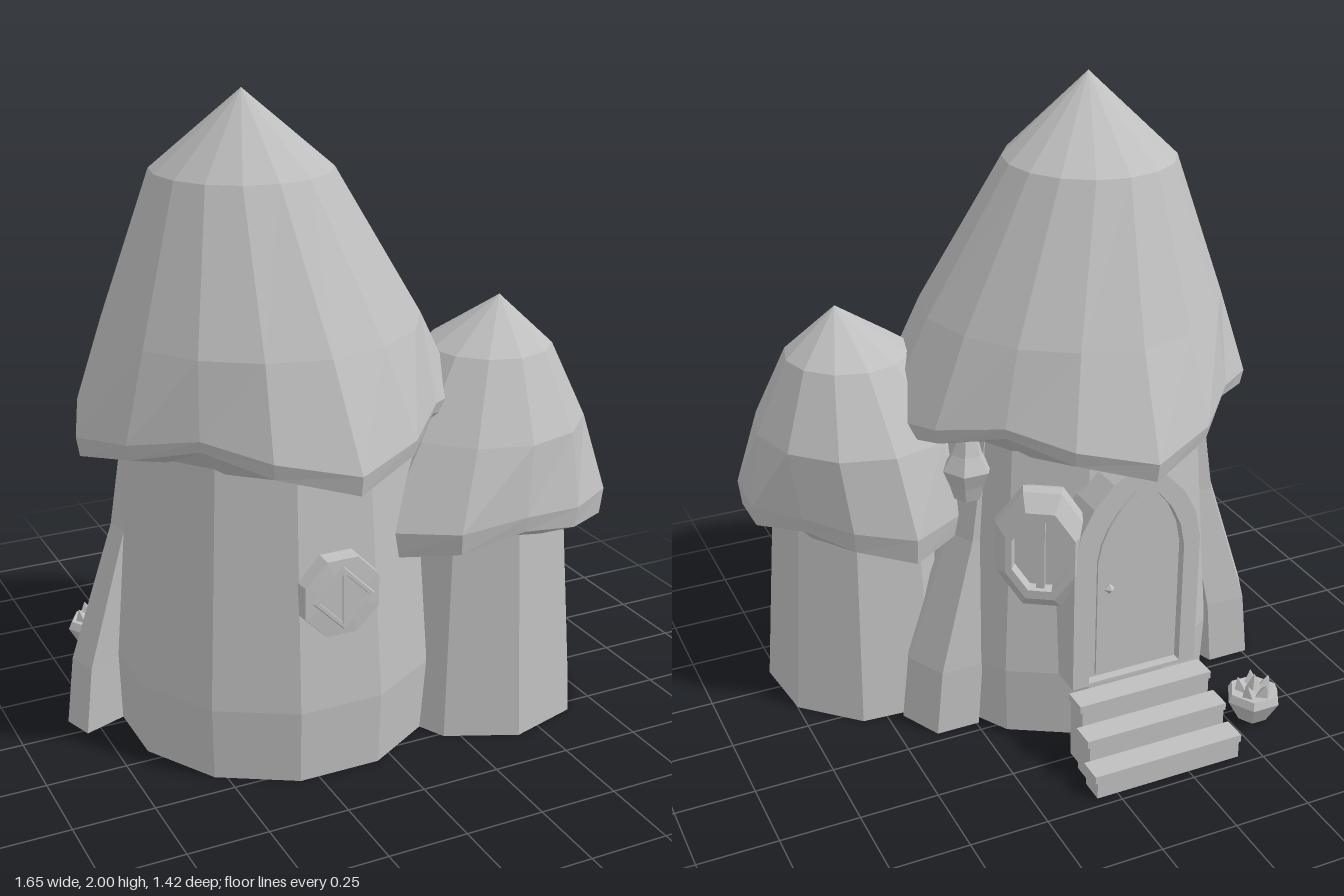
import * as THREE from 'three';

// Walls and roots are open shells, so both sides show
const plaster = new THREE.MeshStandardMaterial({ color: 0xbfbfbf, flatShading: true, side: THREE.DoubleSide });
plaster.name = 'plain grey';

// Ring of n points; radius and height may be functions of the index
const val = (f, i) => (typeof f === 'function' ? f(i) : f);
function ring(n, cx, cz, r, y, start = 0) {
  return Array.from({ length: n }, (_, i) => {
    const a = start + (i / n) * Math.PI * 2;
    return new THREE.Vector3(cx + Math.cos(a) * val(r, i), val(y, i), cz + Math.sin(a) * val(r, i));
  });
}

// Skin joining rings listed from the underside upward
function loft(rings) {
  const pos = [];
  const tri = new THREE.Triangle();
  const add = (a, b, c) => {
    if (tri.set(a, b, c).getArea() > 1e-8) for (const p of [a, b, c]) pos.push(p.x, p.y, p.z);
  };
  for (let k = 0; k + 1 < rings.length; k++) {
    const lo = rings[k], hi = rings[k + 1], n = lo.length;
    for (let i = 0; i < n; i++) {
      const j = (i + 1) % n;
      add(lo[i], hi[i], lo[j]);
      add(lo[j], hi[i], hi[j]);
    }
  }
  const g = new THREE.BufferGeometry();
  g.setAttribute('position', new THREE.Float32BufferAttribute(pos, 3));
  g.computeVertexNormals();
  return g;
}

// Shape turned about z from [radius, depth] pairs
function turned(n, start, profile) {
  return loft(profile.map(([r, d]) => ring(n, 0, 0, r, d, start))).rotateX(Math.PI / 2);
}

// Pointed arch outline
function arch(Type, w, y0, spring, top) {
  const s = new Type();
  s.moveTo(-w, y0);
  s.lineTo(w, y0);
  s.lineTo(w, spring);
  s.quadraticCurveTo(w * 0.92, top - 0.1, 0, top);
  s.quadraticCurveTo(-w * 0.92, top - 0.1, -w, spring);
  s.closePath();
  return s;
}

export function createModel() {
  const model = new THREE.Group();
  model.name = 'cottage';
  const add = (name, geo, x = 0, y = 0, z = 0, parent = model) => {
    const m = new THREE.Mesh(geo, plaster);
    m.name = name;
    m.position.set(x, y, z);
    parent.add(m);
    return m;
  };
  const box = (w, h, d) => new THREE.BoxGeometry(w, h, d);

  // Main tower wall, open below
  const mx = -0.19, mz = 0.07;
  add('mainWall', loft([[0.5, 0], [0.51, 0.23], [0.45, 0.98]]
    .map(([r, y]) => ring(12, mx + 0.01, mz, r, y, Math.PI / 12))));

  // Main roof: four drooping corners, apex leaning to one side
  const hemR = [0.608, 0.575, 0.525, 0.575, 0.632, 0.575, 0.525, 0.575];
  const dip = [0, 0.05, 0.1, 0.05];
  add('mainRoof', loft([
    ring(16, mx, mz, 0.42, 0.95),
    ring(16, mx, mz, i => hemR[i % 8] - 0.005, i => 0.95 + dip[i % 4]),
    ring(16, mx, mz, i => hemR[i % 8] + 0.005, i => 1.01 + dip[i % 4] * 0.75),
    ring(16, -0.215, 0.08, i => (i % 4 === 0 ? 0.488 : 0.478), 1.31),
    ring(16, -0.27, 0.075, 0.27, 1.76),
    ring(16, -0.3, 0.15, 0, 2),
  ]));

  // Side tower wall, open below
  add('sideWall', loft([[0.345, 0], [0.29, 0.7]]
    .map(([r, y]) => ring(9, 0.44, 0.265, r, y, 0.24))));

  // Side roof: three drooping lobes
  const lobeR = [0.405, 0.45, 0.41, 0.39, 0.445, 0.47, 0.41, 0.37, 0.36, 0.39, 0.345, 0.34];
  const lift = i => 0.035 * (1 - Math.cos(((i - 1) * Math.PI) / 2));
  add('sideRoof', loft([
    ring(12, 0.43, 0.235, 0.28, 0.63),
    ring(12, 0.42, 0.21, i => lobeR[i] - 0.01, i => 0.615 + lift(i)),
    ring(12, 0.42, 0.21, i => lobeR[i], i => 0.7 + lift(i) * 0.5),
    ring(12, 0.45, 0.235, 0.335, 0.95),
    ring(12, 0.48, 0.24, 0.198, 1.18),
    ring(12, 0.51, 0.25, 0, 1.33),
  ]));

  // Root buttresses on both sides of the main tower
  const section = [[-1, 0.1], [-0.5, -0.95], [0.6, -0.95], [1, 0.2], [-0.75, 0.85]];
  const stages = [[0.7, 0.13, 0], [0.68, 0.125, 0.22], [0.575, 0.085, 0.65], [0.53, 0.075, 1]];
  for (const side of [1, -1]) {
    const rings = stages.map(([d, r, y]) => {
      const pts = section.map(([u, v]) =>
        new THREE.Vector3(mx + side * (d - 0.19 - u * r), y, -0.09 + v * r));
      return side > 0 ? pts.reverse() : pts;
    });
    add(side > 0 ? 'leftRoot' : 'rightRoot', loft(rings));
  }

  // Front window: octagonal rim, diamond pane and centre bar
  const front = new THREE.Group();
  front.name = 'frontWindow';
  front.position.set(-0.185, 0.59, 0.5);
  model.add(front);
  add('rim', turned(8, Math.PI / 8, [[0.135, 0], [0.128, 0.075], [0, 0.082]]), 0, 0, 0, front);
  add('pane', turned(4, 0, [[0.1, 0.075], [0.095, 0.09], [0.08, 0.09], [0.078, 0.085], [0, 0.085]]), 0, 0, 0, front);
  add('bar', box(0.012, 0.16, 0.008), 0, 0, 0.088, front);

  // Back window: tall octagonal porthole
  const back = new THREE.Group();
  back.name = 'backWindow';
  back.position.set(0.06, 0.7, -0.32);
  back.rotation.y = Math.atan2(0.54, -0.84);
  model.add(back);
  const porthole = turned(8, Math.PI / 8, [[0.18, -0.02], [0.215, 0.05], [0.205, 0.075], [0.155, 0.12],
    [0.125, 0.12], [0.12, 0.085], [0, 0.085]]).scale(0.74, 1.02, 1);
  add('rim', porthole, 0, 0, 0, back);
  add('bar', box(0.025, 0.23, 0.025), 0, 0, 0.095, back);

  // Door frame, door and knob
  const door = new THREE.Group();
  door.name = 'doorway';
  door.position.set(-0.18, 0, -0.475);
  door.rotation.y = Math.PI;
  model.add(door);
  const frame = arch(THREE.Shape, 0.215, 0.23, 0.68, 0.975);
  frame.holes.push(arch(THREE.Path, 0.16, 0.24, 0.66, 0.915));
  const solid = (s, depth) =>
    new THREE.ExtrudeGeometry(s, { depth, bevelEnabled: false, curveSegments: 4 });
  add('frame', solid(frame, 0.14), 0, 0, -0.14, door);
  add('door', solid(arch(THREE.Shape, 0.165, 0.235, 0.66, 0.92), 0.1), 0, 0, -0.13, door);
  add('panel', solid(arch(THREE.Shape, 0.125, 0.25, 0.65, 0.87), 0.008), 0, 0, -0.03, door);
  add('knob', new THREE.OctahedronGeometry(0.018), -0.09, 0.56, -0.012, door);

  // Steps with slightly overhanging treads
  for (let i = 0; i < 3; i++) {
    const h = 0.08 + i * 0.073;
    const w = 0.51 - i * 0.025;
    const z = -0.677 + i * 0.079;
    add('step', box(w - 0.015, h - 0.02, 0.079), -0.18, (h - 0.02) / 2, z);
    add('tread', box(w, 0.025, 0.079), -0.18, h - 0.0125, z);
  }

  // Hanging lantern under the eave
  add('lantern', loft([[0, 0.8], [0.045, 0.8], [0.06, 0.85], [0.08, 0.9], [0.05, 0.95], [0.03, 1], [0, 1]]
    .map(([r, y]) => ring(6, 0.24, -0.145, r, y))));

  // Planter with leafy points
  const pot = new THREE.Group();
  pot.name = 'planter';
  pot.position.set(-0.585, 0, -0.545);
  model.add(pot);
  add('pot', loft([[0, 0], [0.05, 0], [0.092, 0.075], [0.08, 0.1], [0, 0.095]]
    .map(([r, y]) => ring(6, 0, 0, r, y))), 0, 0, 0, pot);
  for (let i = 0; i < 5; i++) {
    const a = (i + 0.5) * Math.PI * 0.4;
    const leaf = add('leaf', new THREE.ConeGeometry(0.036, 0.06, 4), Math.cos(a) * 0.045, 0.112, Math.sin(a) * 0.045, pot);
    leaf.rotation.set(Math.sin(a) * 0.3, 0, -Math.cos(a) * 0.3);
  }
  add('leaf', new THREE.ConeGeometry(0.04, 0.07, 5), 0, 0.125, 0, pot);

  return model;
}
